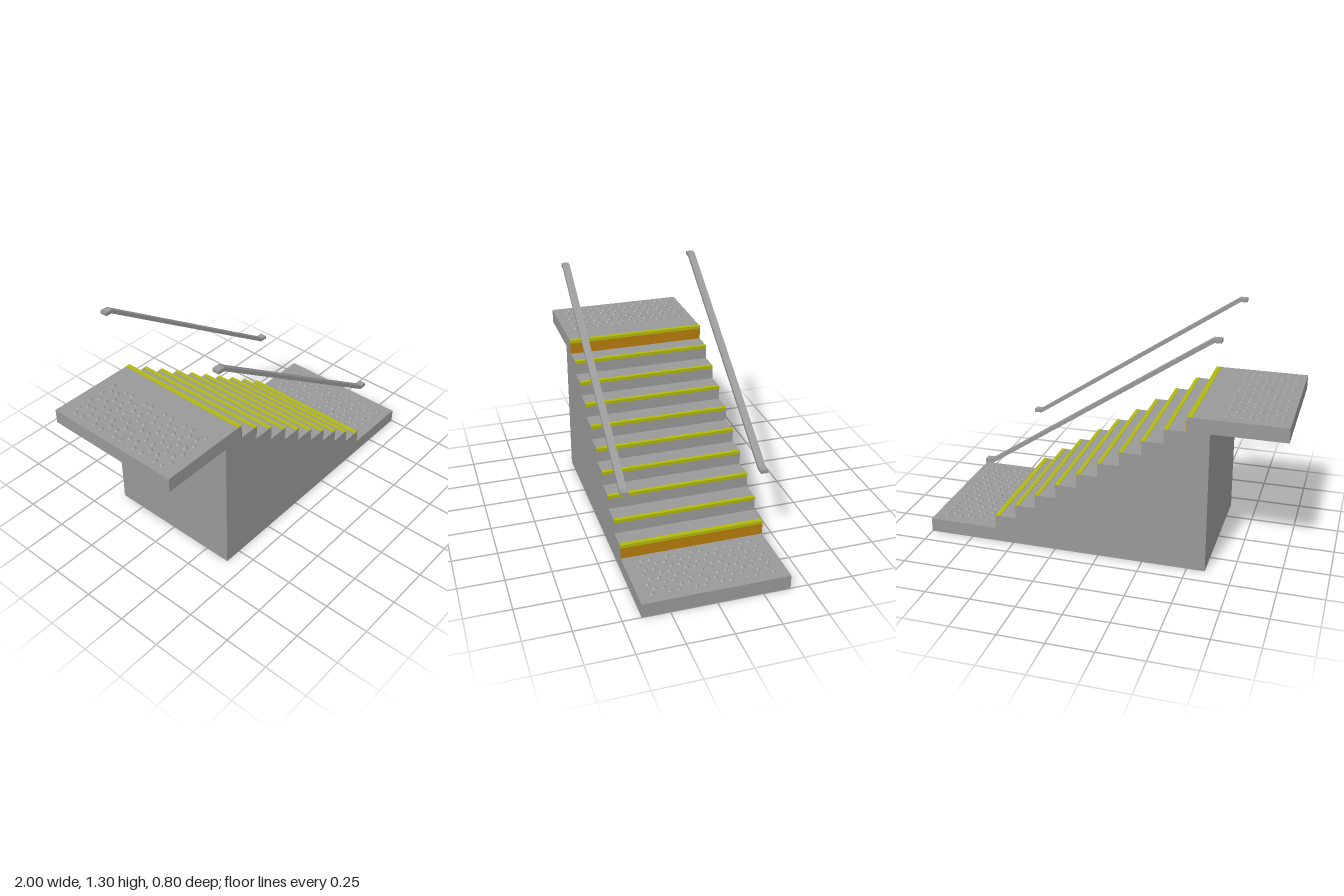
import * as THREE from 'three';

const RISE = 0.08, RUN = 0.12, STEPS = 10, DEPTH = 0.8;

const concrete = new THREE.MeshStandardMaterial({ color: 0x999999 });
concrete.name = 'concrete grey';
const yellow = new THREE.MeshStandardMaterial({ color: 0xb0b80c });
yellow.name = 'nosing yellow';
const orange = new THREE.MeshStandardMaterial({ color: 0xb87c0c });
orange.name = 'riser orange';

// Extrude an x/y outline along z, centred on zMid
function slab(name, points, depth, zMid) {
  const shape = new THREE.Shape(points.map(([x, y]) => new THREE.Vector2(x, y)));
  const geo = new THREE.ExtrudeGeometry(shape, { depth, bevelEnabled: false });
  geo.translate(0, 0, zMid - depth / 2);
  const mesh = new THREE.Mesh(geo, concrete);
  mesh.name = name;
  return mesh;
}

function plate(name, material, x0, x1, y0, y1) {
  const mesh = new THREE.Mesh(new THREE.BoxGeometry(x1 - x0, y1 - y0, DEPTH), material);
  mesh.position.set((x0 + x1) / 2, (y0 + y1) / 2, 0);
  mesh.name = name;
  return mesh;
}

// Honeycomb field of raised dots for blind guidance
function tactilePaving(name, x0, y) {
  const edge = 0.0467, column = edge * Math.sqrt(3) / 2;
  const bump = new THREE.CylinderGeometry(0.009, 0.015, 0.007, 8).toNonIndexed();
  bump.computeVertexNormals();
  const group = new THREE.Group();
  group.name = name;
  for (let c = 0; c < 8; c++) {
    for (let k = 0; k < 5; k++) {
      const pair = c % 2 ? [0, 2] : [0.5, 1.5];
      for (const offset of pair) {
        const dot = new THREE.Mesh(bump, concrete);
        dot.name = 'tactileDot';
        dot.position.set(x0 + c * column, y + 0.0035, (3 * k + offset - 7) * edge);
        group.add(dot);
      }
    }
  }
  return group;
}

export function createModel() {
  const model = new THREE.Group();
  model.name = 'staircase';

  // Stepped body with both landings
  const outline = [[-0.6, 0], [1, 0], [1, RISE]];
  for (let i = 0; i < STEPS; i++) {
    const x = 0.6 - i * RUN;
    outline.push([x, RISE * (i + 1)], [x, RISE * (i + 2)]);
  }
  outline.push([-1, 0.88], [-1, 0.8], [-0.6, 0.8]);
  model.add(slab('stairBody', outline, DEPTH, 0));

  // Yellow nosings on every step, orange risers on the first and last
  for (let i = 0; i < STEPS; i++) {
    const x = 0.6 - i * RUN, y = RISE * (i + 2);
    const ends = i === 0 || i === STEPS - 1;
    model.add(plate('nosingTop', yellow, x - (ends ? 0.025 : 0.02), x + 0.002, y - 0.002, y + 0.002));
    model.add(plate('nosingFront', yellow, x - 0.002, x + 0.002, y - 0.016, y - 0.002));
    if (ends) model.add(plate('markedRiser', orange, x - 0.002, x + 0.002, y - RISE, y - 0.016));
  }

  // Raised dots on both landings
  model.add(tactilePaving('upperTactilePaving', -0.95, 0.88));
  model.add(tactilePaving('lowerTactilePaving', 0.65, RISE));

  // Sloping handrails with short level ends
  const rail = [
    [-0.64, 1.285], [-0.604, 1.285], [0.596, 0.487], [0.64, 0.487],
    [0.64, 0.507], [0.602, 0.507], [-0.598, 1.305], [-0.64, 1.305],
  ];
  for (const side of [-1, 1]) {
    model.add(slab(side > 0 ? 'frontHandrail' : 'backHandrail', rail, 0.04, side * 0.38));
  }
  return model;
}
